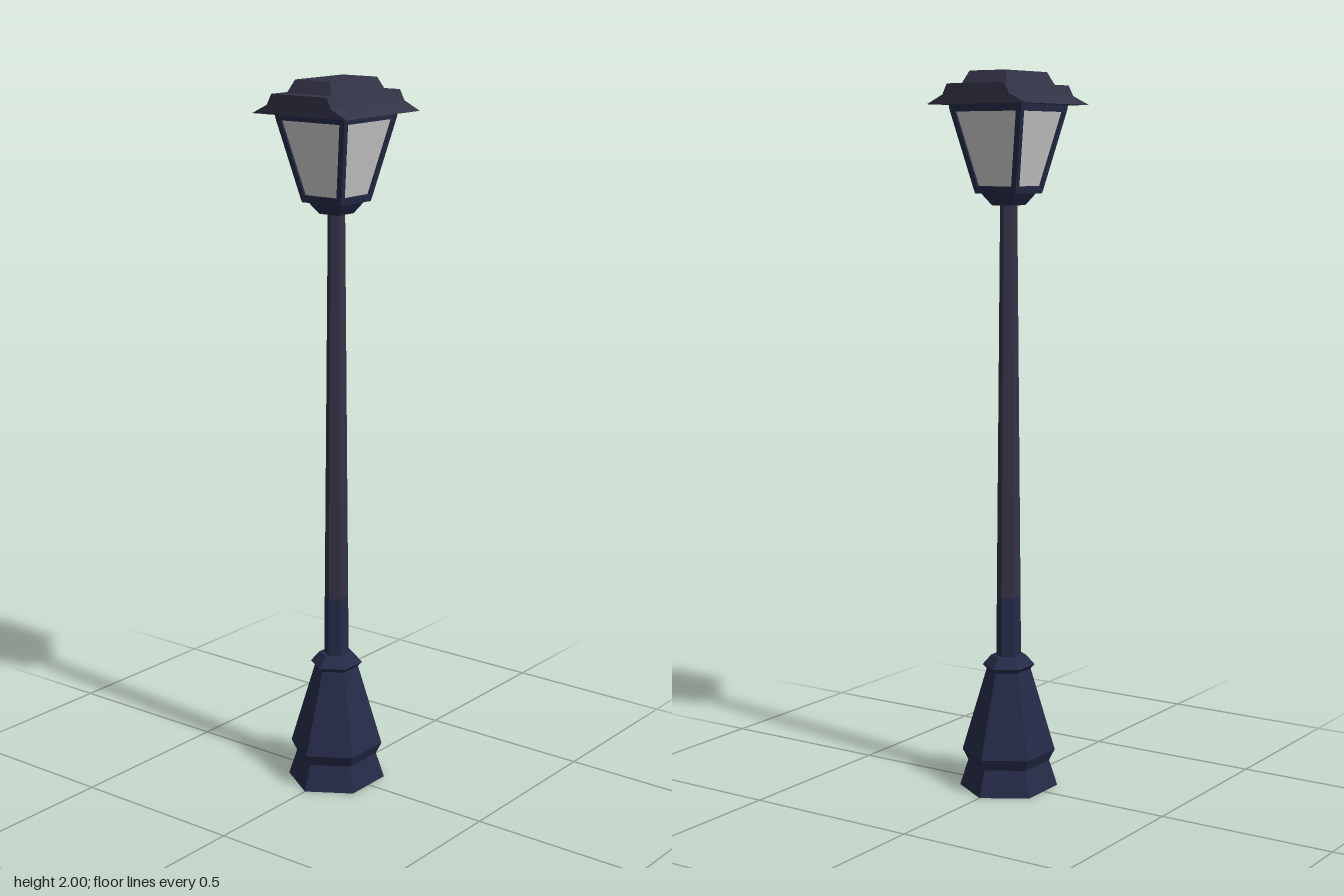
import * as THREE from 'three';

const blue = new THREE.MeshStandardMaterial({ color: 0x252b48, flatShading: true });
const iron = new THREE.MeshStandardMaterial({ color: 0x333347, flatShading: true });
const glass = new THREE.MeshStandardMaterial({ color: 0xcccccc, flatShading: true });

export function createModel() {
  const model = new THREE.Group();

  function add(name, geometry, material, parent = model) {
    const mesh = new THREE.Mesh(geometry, material);
    mesh.name = name;
    parent.add(mesh);
    return mesh;
  }

  // Six-sided turned part, slightly narrower across x; profile is [radius, y] upward
  function hexTurned(profile) {
    const points = profile.map(([r, y]) => new THREE.Vector2(r, y));
    return new THREE.LatheGeometry(points, 6).scale(0.92, 1, 1);
  }

  // Tapered box from half sizes at y0 to half sizes at y1; ends may be offset in x and z
  function taper(y0, [x0, z0], y1, [x1, z1], from = [0, 0], to = [0, 0]) {
    const g = new THREE.BoxGeometry(2, 1, 2);
    const p = g.attributes.position;
    for (let i = 0; i < p.count; i++) {
      const top = p.getY(i) > 0;
      const shift = top ? to : from;
      p.setXYZ(i,
        p.getX(i) * (top ? x1 : x0) + shift[0],
        top ? y1 : y0,
        p.getZ(i) * (top ? z1 : z0) + shift[1]);
    }
    g.computeVertexNormals();
    return g;
  }

  // Pedestal with flared foot, overhanging body and collar
  add('pedestal', hexTurned([
    [0, 0], [0.147, 0], [0.122, 0.073], [0.139, 0.105],
    [0.066, 0.34], [0.078, 0.352], [0.052, 0.38], [0, 0.38],
  ]), blue);

  // Tapering pole in two tones
  add('lowerPole', hexTurned([[0.037, 0.37], [0.0355, 0.55]]), blue);
  add('upperPole', hexTurned([[0.0355, 0.55], [0.025, 1.65]]), iron);

  // Lantern
  const lantern = new THREE.Group();
  lantern.name = 'lantern';
  model.add(lantern);
  add('lanternCup', taper(1.64, [0.033, 0.033], 1.675, [0.056, 0.056]), blue, lantern);
  add('lanternFloor', taper(1.672, [0.066, 0.066], 1.692, [0.07, 0.07]), blue, lantern);
  add('glassPanes', taper(1.69, [0.063, 0.063], 1.895, [0.108, 0.108]), glass, lantern);
  add('topRim', taper(1.892, [0.114, 0.114], 1.915, [0.118, 0.118]), blue, lantern);
  for (const sx of [-1, 1]) {
    for (const sz of [-1, 1]) {
      add('cornerPost', taper(1.68, [0.008, 0.008], 1.9, [0.008, 0.008],
        [sx * 0.06, sz * 0.06], [sx * 0.108, sz * 0.108]), blue, lantern);
    }
  }

  // Roof: a stepped gable profile run straight from front to back
  const right = [[0.158, 1.911], [0.107, 1.936], [0.092, 1.965]];
  const left = right.map(([x, y]) => [-x, y]).reverse();
  const outline = new THREE.Shape([...right, ...left].map(([x, y]) => new THREE.Vector2(x, y)));
  const roof = new THREE.ExtrudeGeometry(outline, { depth: 0.32, bevelEnabled: false });
  add('roof', roof.translate(0, 0, -0.16), iron, lantern);
  add('roofCap', taper(1.96, [0.077, 0.119], 2, [0.058, 0.102]), iron, lantern);

  return model;
}
